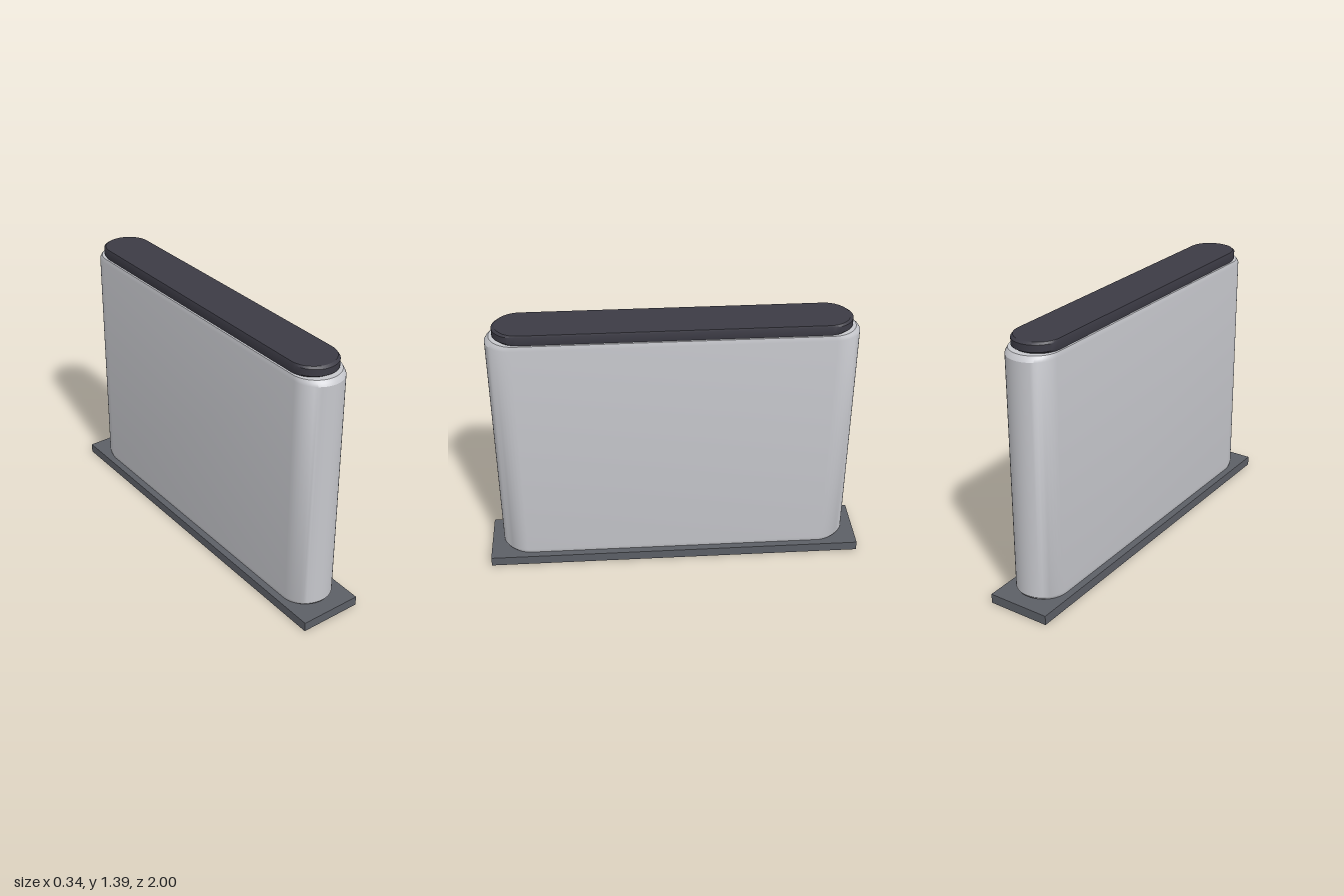
import * as THREE from 'three';
import { toCreasedNormals } from 'three/addons/utils/BufferGeometryUtils.js';

// Capsule-shaped outline running along z: two half circles joined by straight sides
function capsuleOutline(radius, halfLength, segments = 24) {
  const points = [];
  for (const end of [1, -1]) {
    for (let i = 0; i <= segments; i++) {
      const angle = (i / segments - 0.5) * Math.PI + (end < 0 ? Math.PI : 0);
      points.push([radius * Math.sin(angle), radius * Math.cos(angle) + end * (halfLength - radius)]);
    }
  }
  return points;
}

// Stack scaled copies of the outline; levels are [y, scale] from bottom to top
function stack(outline, levels) {
  const n = outline.length;
  const position = [];
  const index = [];
  for (const [y, s] of levels) for (const [x, z] of outline) position.push(x * s, y, z * s);
  for (let j = 0; j < levels.length - 1; j++) {
    for (let i = 0; i < n; i++) {
      const k = (i + 1) % n;
      const a = j * n + i, b = j * n + k, c = b + n, d = a + n;
      index.push(a, b, c, a, c, d);
    }
  }
  // End caps
  const last = (levels.length - 1) * n;
  const bottom = levels.length * n;
  const top = bottom + 1;
  position.push(0, levels[0][0], 0, 0, levels[levels.length - 1][0], 0);
  for (let i = 0; i < n; i++) {
    const k = (i + 1) % n;
    index.push(bottom, k, i, top, last + i, last + k);
  }
  const geometry = new THREE.BufferGeometry();
  geometry.setAttribute('position', new THREE.Float32BufferAttribute(position, 3));
  geometry.setIndex(index);
  return toCreasedNormals(geometry, 0.5);
}

function material(name, color) {
  const m = new THREE.MeshStandardMaterial({ color });
  m.name = name;
  return m;
}

export function createModel() {
  const group = new THREE.Group();
  const add = (name, geometry, mat) => {
    const mesh = new THREE.Mesh(geometry, mat);
    mesh.name = name;
    group.add(mesh);
    return mesh;
  };

  // Flat rectangular foot
  add('basePlate', new THREE.BoxGeometry(0.335, 0.05, 2), material('baseGrey', 0x5c5f66)).position.y = 0.025;

  // Tall cabinet with round ends and softened rims
  add('body', stack(capsuleOutline(0.133, 0.935), [
    [0.05, 0.977], [0.06, 0.991], [0.072, 1], [1.31, 1], [1.323, 0.991], [1.335, 0.977],
  ]), material('lightGrey', 0xc6c7cc));

  // Dark cap on top
  add('topCap', stack(capsuleOutline(0.122, 0.896), [
    [1.335, 0.983], [1.345, 1], [1.38, 1], [1.39, 0.983],
  ]), material('darkSlate', 0x3c3b45));

  return group;
}
